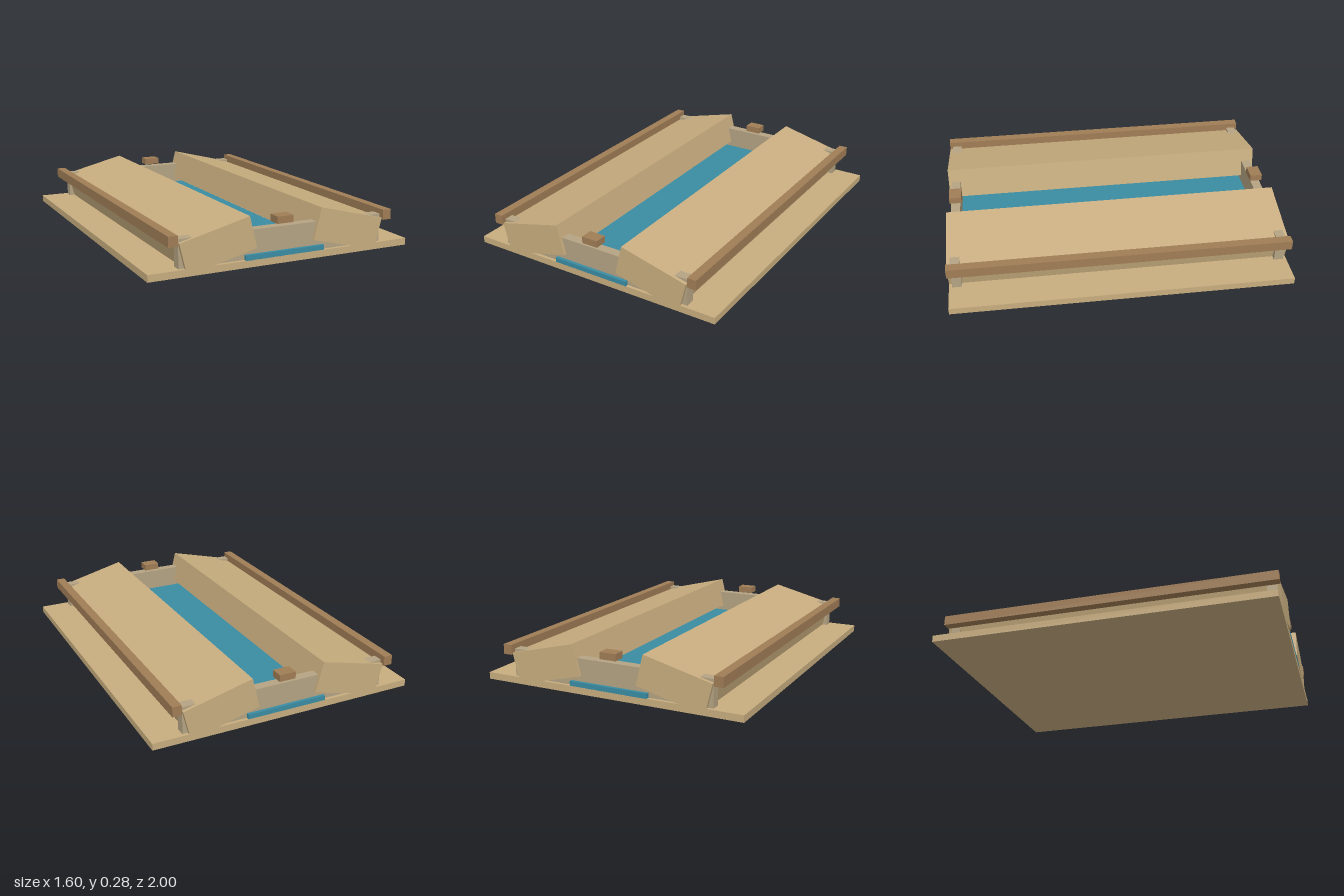
import * as THREE from 'three';

const material = (color) => new THREE.MeshStandardMaterial({ color });

export function createModel() {
  const group = new THREE.Group();
  const sand = material(0xc8ad7f);
  const stone = material(0xb5a483);
  const wood = material(0xa07d56);
  const water = material(0x3a8ca3);

  const addBox = (name, mat, size, position, tilt = 0) => {
    const mesh = new THREE.Mesh(new THREE.BoxGeometry(...size), mat);
    mesh.name = name;
    mesh.position.set(...position);
    mesh.rotation.z = tilt;
    group.add(mesh);
  };

  // Ground slab and the water channel along its middle
  addBox('base', sand, [1.6, 0.04, 2], [0, 0.02, 0]);
  addBox('water', water, [0.485, 0.03, 2], [0, 0.053, 0]);

  // Sloping banks rising towards the channel, with a rail outside each
  for (const [side, s] of [['left', 1], ['right', -1]]) {
    addBox(side + 'Bank', sand, [0.416, 0.184, 2], [s * 0.401, 0.141, 0], -s * 0.245);
    addBox(side + 'Rail', wood, [0.053, 0.058, 2], [s * 0.659, 0.195, 0]);
  }

  // Cross walls at both ends, with a small block hovering over each
  for (const [end, s] of [['front', 1], ['back', -1]]) {
    addBox(end + 'Wall', stone, [1.245, 0.16, 0.056], [0, 0.12, s * 0.953]);
    addBox(end + 'Block', wood, [0.1, 0.04, 0.074], [0, 0.236, s * 0.952]);
  }

  return group;
}
